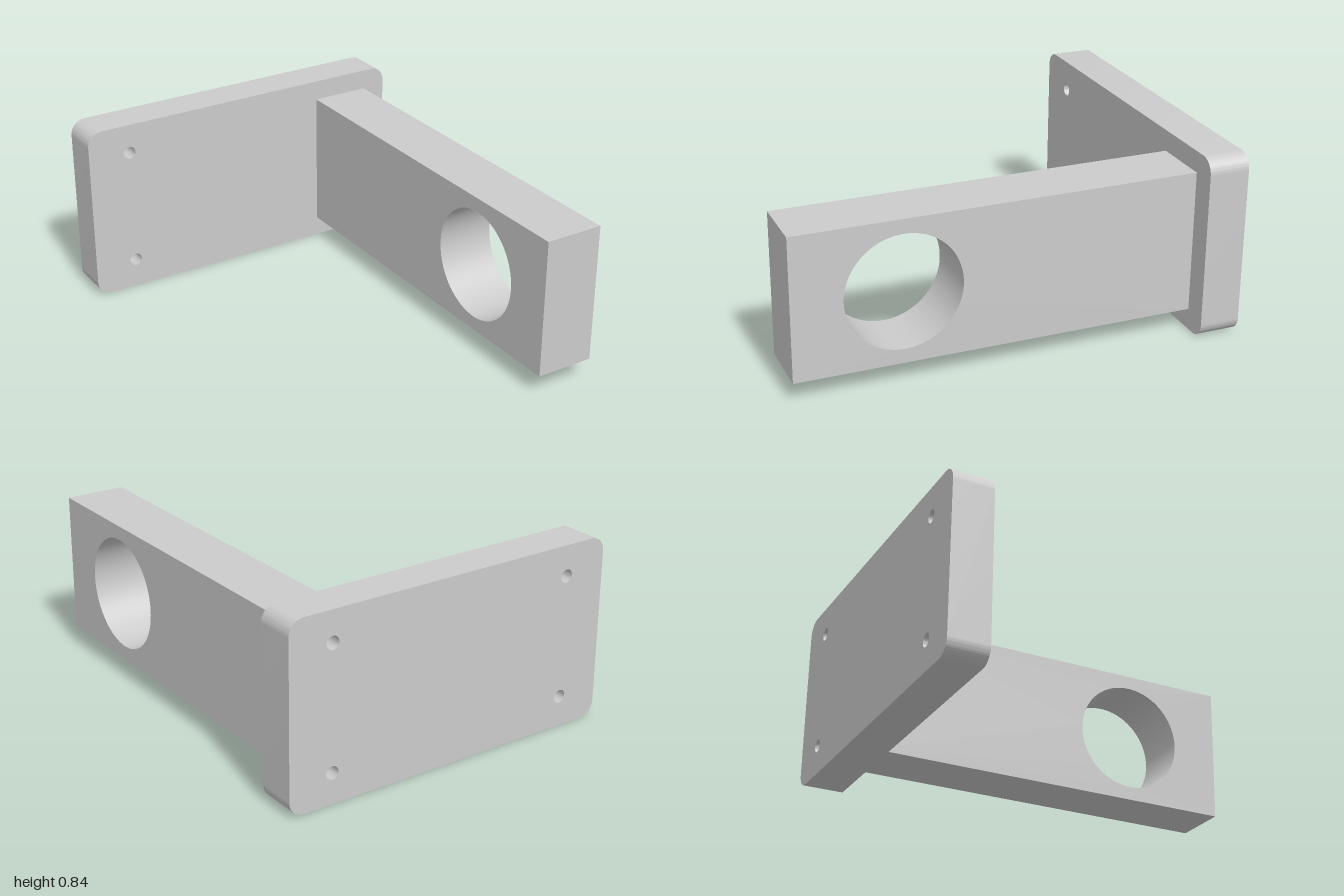
import * as THREE from 'three';
import { toCreasedNormals } from 'three/addons/utils/BufferGeometryUtils.js';

const material = new THREE.MeshStandardMaterial({ color: 0xcccccc });

// Rectangle outline with rounded (or square, r = 0) corners
function rectangle(x0, y0, x1, y1, r = 0) {
  const s = new THREE.Shape();
  if (r === 0) {
    s.moveTo(x0, y0).lineTo(x1, y0).lineTo(x1, y1).lineTo(x0, y1).closePath();
    return s;
  }
  s.moveTo(x0 + r, y0);
  s.absarc(x1 - r, y0 + r, r, -Math.PI / 2, 0);
  s.absarc(x1 - r, y1 - r, r, 0, Math.PI / 2);
  s.absarc(x0 + r, y1 - r, r, Math.PI / 2, Math.PI);
  s.absarc(x0 + r, y0 + r, r, Math.PI, Math.PI * 1.5);
  return s;
}

function drill(shape, x, y, r) {
  shape.holes.push(new THREE.Path().absarc(x, y, r, 0, Math.PI * 2, true));
}

function extrude(shape, depth, curveSegments) {
  const geometry = new THREE.ExtrudeGeometry(shape, { depth, curveSegments, bevelEnabled: false });
  return toCreasedNormals(geometry, Math.PI / 6);
}

export function createModel() {
  const group = new THREE.Group();

  // Mounting plate with four screw holes
  const plateShape = rectangle(-0.81, 0, 0.81, 0.84, 0.07);
  for (const x of [-0.605, 0.605]) {
    for (const y of [0.14, 0.7]) drill(plateShape, x, y, 0.03);
  }
  const plate = new THREE.Mesh(extrude(plateShape, 0.185, 16), material);
  plate.name = 'mountingPlate';
  plate.position.z = -1;
  group.add(plate);

  // Arm with a large cross bore: drawn in z-y, thickness along x
  const armShape = rectangle(-0.815, 0.095, 1, 0.745);
  drill(armShape, 0.515, 0.42, 0.26);
  const arm = new THREE.Mesh(extrude(armShape, 0.277, 48), material);
  arm.name = 'arm';
  arm.rotation.y = -Math.PI / 2;
  arm.position.x = 0.695;
  group.add(arm);

  return group;
}
